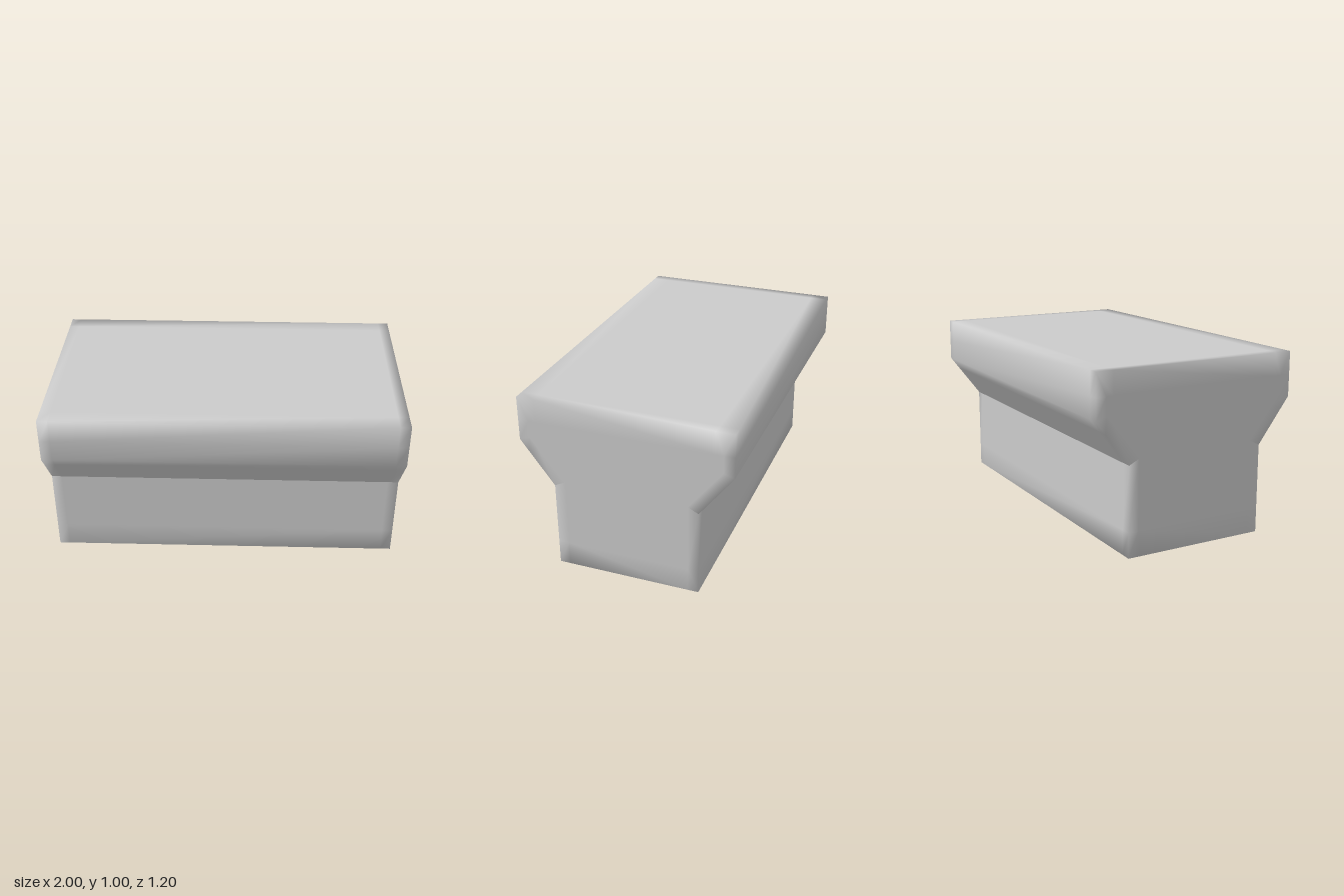
import * as THREE from 'three';

export function createModel() {
  // Half profile as [z, y, inset z, inset y], bottom to top; the repeated
  // point is the hard crease under the overhang.
  const half = [
    [0.35, 0, 0.35, 0.14],
    [0.41, 0, 0.35, 0.14],
    [0.41, 0.14, 0.35, 0.14],
    [0.41, 0.5, 0.35, 0.53],
    [0.41, 0.5, 0.35, 0.53],
    [0.547, 0.68, 0.5, 0.72],
    [0.6, 0.75, 0.54, 0.77],
    [0.6, 0.87, 0.54, 0.87],
    [0.6, 1, 0.54, 0.87],
    [0.5, 1, 0.5, 0.87],
  ];
  const mirrored = half.map(([z, y, iz, iy]) => [-z, y, -iz, iy]).reverse();
  const loop = [...half, ...mirrored];
  const n = loop.length;
  const crease = half.findIndex((p, i) => i > 0 && p[0] === half[i - 1][0] && p[1] === half[i - 1][1]) - 1;

  // Rings along x: end inset, end edge, edge band, then the same mirrored
  const rings = [[-1, 2], [-1, 0], [-0.94, 0], [0.94, 0], [1, 0], [1, 2]];
  const position = [];
  for (const [x, k] of rings) for (const p of loop) position.push(x, p[k + 1], p[k]);

  const index = [];
  const quad = (a, b, c, d) => index.push(a, b, c, a, c, d);

  // Walls and the border bands of both ends
  for (let r = 0; r < rings.length - 1; r++) {
    for (let i = 0; i < n; i++) {
      if (i === crease || i === n - 2 - crease) continue;
      const j = (i + 1) % n;
      quad(r * n + i, (r + 1) * n + i, (r + 1) * n + j, r * n + j);
    }
  }

  // Flat middles of the ends, strips from front to back
  const last = (rings.length - 1) * n;
  for (let i = 0; i < half.length - 1; i++) {
    if (i === crease) continue;
    const a = i, b = i + 1, c = n - 2 - i, d = n - 1 - i;
    quad(a, b, c, d);
    quad(last + d, last + c, last + b, last + a);
  }

  const geometry = new THREE.BufferGeometry();
  geometry.setAttribute('position', new THREE.Float32BufferAttribute(position, 3));
  geometry.setIndex(index);
  geometry.computeVertexNormals(); // soft shading across the edge bands

  const block = new THREE.Mesh(geometry, new THREE.MeshStandardMaterial({ color: 0xcccccc }));
  block.name = 'flaredBlock';

  const group = new THREE.Group();
  group.name = 'ledgeBlock';
  group.add(block);
  return group;
}
